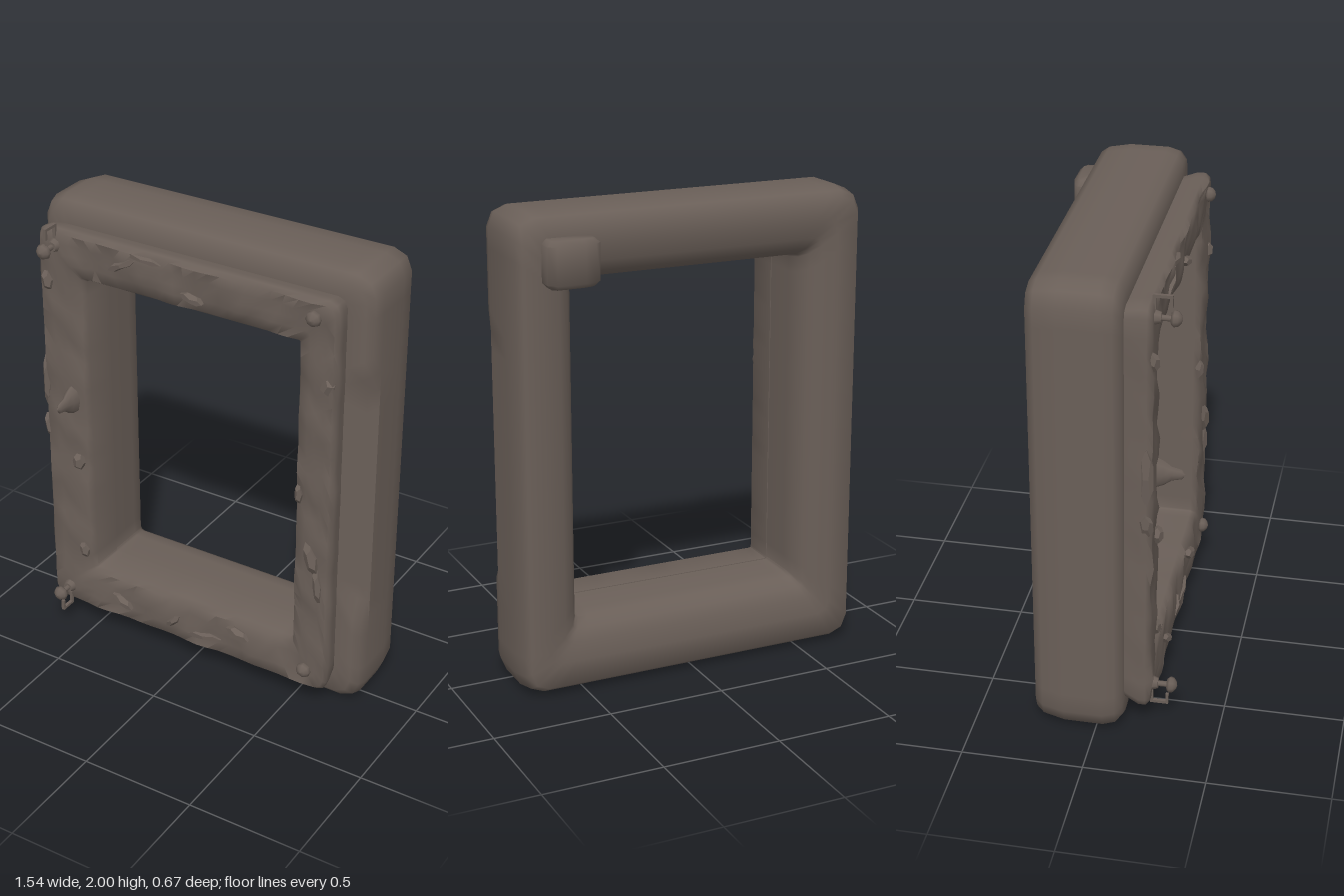
import * as THREE from 'three';
import { toCreasedNormals } from 'three/addons/utils/BufferGeometryUtils.js';

const stone = new THREE.MeshStandardMaterial({ color: 0x6a5f58 });
stone.name = 'brown grey';

// Rounded rectangle loop, counter-clockwise, with subdivided edges
function rectLoop(cx, cy, hw, hh, r, edge = 22, arc = 2) {
  const corners = [];
  [[1, -1], [1, 1], [-1, 1], [-1, -1]].forEach(([sx, sy], q) => {
    const pts = [];
    for (let i = 0; i <= arc; i++) {
      const a = (q - 1 + i / arc) * Math.PI / 2;
      pts.push(new THREE.Vector2(cx + sx * (hw - r) + r * Math.cos(a), cy + sy * (hh - r) + r * Math.sin(a)));
    }
    corners.push(pts);
  });
  const loop = [];
  corners.forEach((pts, q) => {
    loop.push(...pts);
    const next = corners[(q + 1) % 4][0];
    for (let i = 1; i < edge; i++) loop.push(pts[arc].clone().lerp(next, i / edge));
  });
  return loop;
}

// Sweeps a closed profile [inset 0..1, z] between an outer and an inner rectangle
function ring(outer, inner, profile, deform) {
  const a = rectLoop(...outer), b = rectLoop(...inner);
  const n = a.length, m = profile.length, pos = [], idx = [];
  profile.forEach(([d, z]) => {
    for (let i = 0; i < n; i++) {
      const p = new THREE.Vector3(a[i].x + (b[i].x - a[i].x) * d, a[i].y + (b[i].y - a[i].y) * d, z);
      deform(p, d);
      pos.push(p.x, p.y, p.z);
    }
  });
  for (let j = 0; j < m; j++) {
    for (let i = 0; i < n; i++) {
      const k = (i + 1) % n, l = (j + 1) % m;
      idx.push(j * n + i, j * n + k, l * n + k, j * n + i, l * n + k, l * n + i);
    }
  }
  const g = new THREE.BufferGeometry();
  g.setAttribute('position', new THREE.Float32BufferAttribute(pos, 3));
  g.setIndex(idx);
  return toCreasedNormals(g, 1.1);
}

export function createModel() {
  const group = new THREE.Group();
  const add = (geo, name, x = 0, y = 0, z = 0, parent = group) => {
    const mesh = new THREE.Mesh(geo, stone);
    mesh.name = name;
    mesh.position.set(x, y, z);
    parent.add(mesh);
    return mesh;
  };

  // Heavy outer frame, rounded at the back, bevelled between the left and bottom front corners
  const frameProfile = [[0.12, -0.252], [0.05, -0.22], [0, -0.13], [0, 0.03], [0.04, 0.08], [0.14, 0.108], [0.4, 0.112],
    [0.9, 0.11], [1, 0.1], [1, -0.11], [0.96, -0.17], [0.86, -0.215], [0.7, -0.24], [0.45, -0.252]];
  add(ring([0, 1, 0.77, 1, 0.085], [0.003, 1.012, 0.5, 0.704, 0.01], frameProfile, (p, d) => {
    const bevelled = p.z > 0.07 && d < 0.3;
    if (bevelled && p.x > 0.6 && p.y > 0.5 && p.y < 1.56) p.z -= 0.045;
    if (p.y < 0.25 && p.x > -0.57 && p.x < 0.53 && d < 0.3) {
      if (bevelled) p.z -= 0.04;
      if (p.z > 0) p.y += 0.022;
    }
  }), 'outerFrame');

  // Raised front surround with an uneven face
  const wave = (x, y) => Math.sin(x * 19 + y * 7) * Math.sin(y * 17 - x * 5) + 0.6 * Math.sin(x * 41 + 1) * Math.sin(y * 37 + 2);
  const panelProfile = [[0.16, 0.04], [0.12, 0.1], [0.01, 0.17], [0.01, 0.2], [0.08, 0.22], [0.3, 0.216], [0.5, 0.22],
    [0.7, 0.214], [0.93, 0.208], [1, 0.185], [1, 0.04]];
  add(ring([-0.02, 1.01, 0.695, 0.91, 0.045], [0.003, 1.012, 0.497, 0.701, 0.008], panelProfile, (p, d) => {
    const w = wave(p.x, p.y);
    if (p.z > 0.2) p.z += 0.009 * w;
    if (p.z > 0.15 && d < 0.1) p.x += 0.005 * w;
  }), 'frontSurround');

  // Chips and lumps on the surround: x, y, z, half sizes, turn
  const chips = [
    [-0.20, 1.89, 0.212, 0.09, 0.016, 0.025, -0.1], [-0.30, 1.84, 0.216, 0.08, 0.02, 0.022, 0.5],
    [0.03, 1.78, 0.222, 0.055, 0.02, 0.025, -0.25], [-0.67, 1.68, 0.215, 0.025, 0.045, 0.03, 0.2],
    [-0.705, 1.20, 0.2, 0.018, 0.14, 0.03, 0], [-0.705, 0.98, 0.2, 0.02, 0.06, 0.03, 0.2],
    [-0.55, 0.85, 0.218, 0.03, 0.04, 0.025, 0], [-0.54, 0.40, 0.215, 0.025, 0.04, 0.02, 0.2],
    [0.64, 1.56, 0.205, 0.035, 0.045, 0.035, -0.5], [0.59, 0.76, 0.218, 0.03, 0.08, 0.03, 0.25],
    [0.62, 0.63, 0.212, 0.02, 0.09, 0.025, 0.1], [0.52, 1.04, 0.205, 0.018, 0.05, 0.025, 0],
    [0.25, 0.25, 0.222, 0.06, 0.025, 0.025, -0.3], [-0.34, 0.20, 0.222, 0.06, 0.02, 0.025, -0.5],
    [0.08, 0.17, 0.216, 0.09, 0.02, 0.02, 0.15], [-0.08, 0.19, 0.216, 0.05, 0.018, 0.02, 0.8],
  ];
  chips.forEach(([x, y, z, sx, sy, sz, turn]) => {
    const chip = add(new THREE.DodecahedronGeometry(1), 'chip', x, y, z);
    chip.scale.set(sx, sy, sz);
    chip.rotation.z = turn;
  });

  // Pointed lump on the right upright
  const spikeProfile = [[0.06, 0], [0.045, 0.04], [0.026, 0.07], [0.018, 0.11], [0, 0.125]].map(([r, h]) => new THREE.Vector2(r, h));
  const spike = add(new THREE.LatheGeometry(spikeProfile, 8), 'spike', -0.57, 1.15, 0.205);
  spike.rotation.x = Math.PI / 2;
  spike.scale.set(0.6, 1, 1.2);

  // Corner bolts; the two on the right stand out on shafts
  const domeProfile = [[0, -0.008], [0.024, -0.008], [0.034, 0.004], [0.03, 0.018], [0.016, 0.03], [0, 0.034]].map(([r, h]) => new THREE.Vector2(r, h));
  [[-0.627, 1.847, 0.285], [-0.627, 0.177, 0.285], [0.575, 1.843, 0.222], [0.575, 0.195, 0.222]].forEach(([x, y, z]) => {
    const bolt = new THREE.Group();
    bolt.name = 'bolt';
    bolt.position.set(x, y, z);
    bolt.rotation.x = Math.PI / 2;
    group.add(bolt);
    add(new THREE.LatheGeometry(domeProfile, 8), 'boltHead', 0, 0, 0, bolt);
    if (z > 0.25) {
      add(new THREE.CylinderGeometry(0.012, 0.012, 0.1, 8), 'boltShaft', 0, -0.05, 0, bolt);
      add(new THREE.CylinderGeometry(0.022, 0.032, 0.03, 8), 'boltCollar', 0, -0.06, 0, bolt);
    }
  });

  // Small bent hooks beside the right bolts
  [[1.935, -1], [0.087, 1]].forEach(([y, s]) => {
    add(new THREE.BoxGeometry(0.014, 0.012, 0.075), 'hookArm', -0.627, y, 0.245);
    add(new THREE.BoxGeometry(0.014, 0.045, 0.012), 'hookTip', -0.627, y + s * 0.02, 0.277);
    add(new THREE.BoxGeometry(0.014, 0.06, 0.012), 'hookStem', -0.627, y + s * 0.025, 0.213);
  });

  // Chamfered block on the back
  const block = new THREE.Shape([[-0.11, 0.03], [-0.11, -0.06], [-0.085, -0.08], [-0.04, -0.09], [0.08, -0.09], [0.11, -0.065], [0.11, 0.03]]
    .map(([x, z]) => new THREE.Vector2(x, -z)));
  const blockGeo = new THREE.ExtrudeGeometry(block, { depth: 0.15, bevelSize: 0.02, bevelThickness: 0.02, bevelOffset: -0.02, bevelSegments: 1 });
  add(toCreasedNormals(blockGeo, 1), 'backBlock', 0.55, 1.74, -0.25).rotation.x = -Math.PI / 2;

  return group;
}
